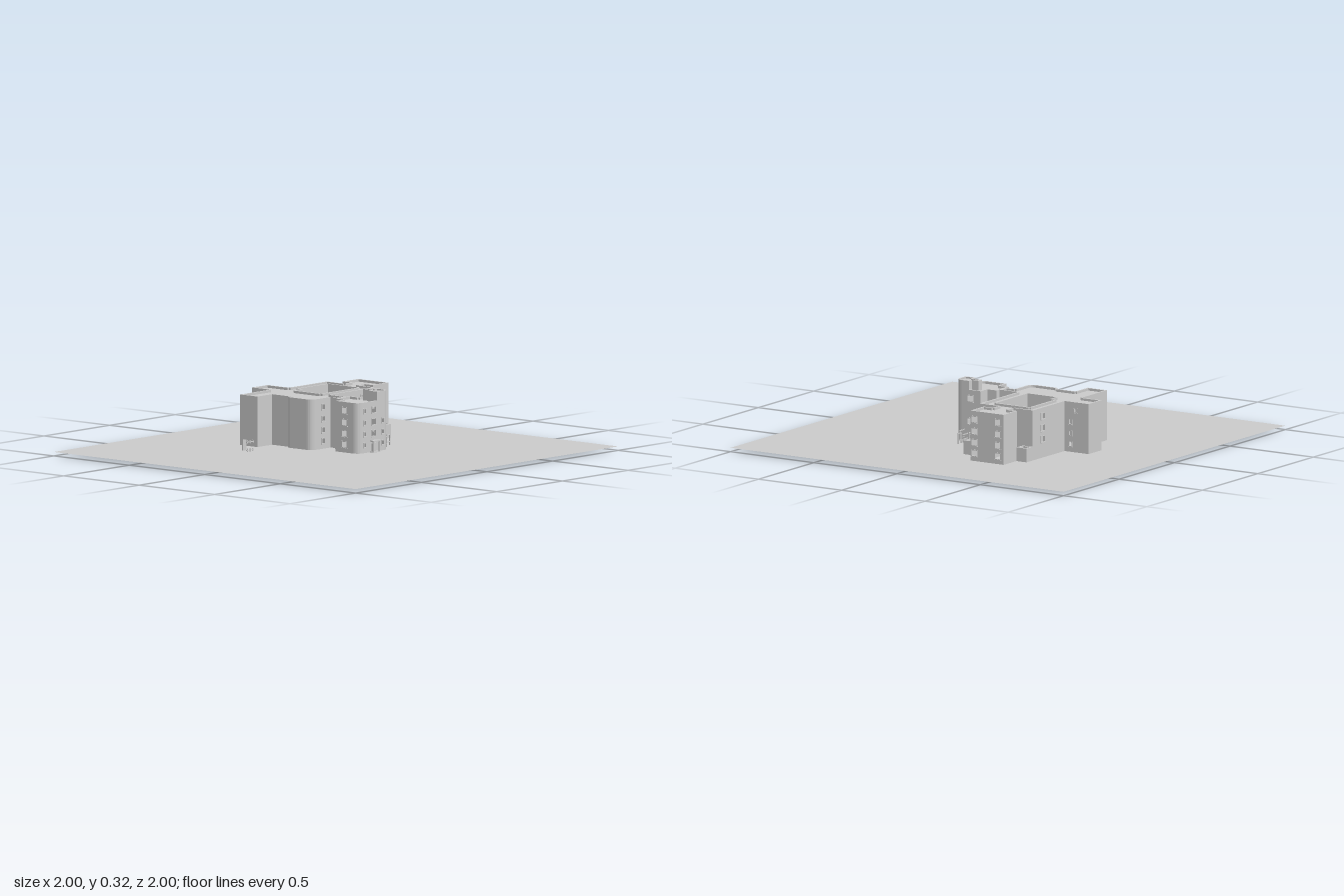
import * as THREE from 'three';

const mat = new THREE.MeshStandardMaterial({ color: 0xcccccc, flatShading: true, side: THREE.DoubleSide });
const T = 0.01;       // wall thickness
const GROUND = 0.02;  // ground level

function add(parent, name, geometry, x = 0, y = 0, z = 0) {
  const mesh = new THREE.Mesh(geometry, mat);
  mesh.name = name;
  mesh.position.set(x, y, z);
  parent.add(mesh);
  return mesh;
}

// box given by its minimum and maximum corners
function box(parent, name, x0, x1, y0, y1, z0, z1) {
  return add(parent, name, new THREE.BoxGeometry(x1 - x0, y1 - y0, z1 - z0),
    (x0 + x1) / 2, (y0 + y1) / 2, (z0 + z1) / 2);
}

// quarter-round corner as a few plan points
function arc(cx, cz, r, from, to, n = 6) {
  return Array.from({ length: n + 1 }, (_, i) => {
    const a = THREE.MathUtils.degToRad(from + (to - from) * i / n);
    return [cx + r * Math.cos(a), cz - r * Math.sin(a)];
  });
}

function rectPath(Type, x, y, w, h) {
  const p = new Type();
  p.moveTo(x - w / 2, y - h / 2);
  p.lineTo(x + w / 2, y - h / 2);
  p.lineTo(x + w / 2, y + h / 2);
  p.lineTo(x - w / 2, y + h / 2);
  p.closePath();
  return p;
}

// slim frame with a sill, set around an opening
function windowFrame(panel, x, y, w, h) {
  const shape = rectPath(THREE.Shape, x, y, w + 0.003, h + 0.003);
  shape.holes.push(rectPath(THREE.Path, x, y, w - 0.005, h - 0.005));
  add(panel, 'windowFrame', new THREE.ExtrudeGeometry(shape, { depth: 0.006, bevelEnabled: false }), 0, 0, -0.003);
  add(panel, 'windowSill', new THREE.BoxGeometry(w + 0.006, 0.003, 0.007), x, y - h / 2 - 0.002, 0.002);
}

// walls along a plan outline (outside on the right hand), with window openings
function walls(parent, outline, y0, y1, windows = []) {
  outline.forEach((a, i) => {
    const b = outline[(i + 1) % outline.length];
    const dx = b[0] - a[0], dz = b[1] - a[1], len = Math.hypot(dx, dz);
    if (len < 1e-4) return;
    const panel = new THREE.Group();
    panel.name = 'wallPanel';
    panel.position.set(a[0], 0, a[1]);
    panel.rotation.y = Math.atan2(-dz, dx);
    parent.add(panel);
    const shape = rectPath(THREE.Shape, len / 2, (y0 + y1) / 2, len, y1 - y0);
    for (const [x, z, w, h, rows] of windows) {
      const u = ((x - a[0]) * dx + (z - a[1]) * dz) / len;
      const off = Math.abs((x - a[0]) * dz - (z - a[1]) * dx) / len;
      if (off > 0.004 || u < w / 2 || u > len - w / 2) continue;
      for (const y of rows) {
        shape.holes.push(rectPath(THREE.Path, u, y, w, h));
        windowFrame(panel, u, y, w, h);
      }
    }
    add(panel, 'wall', new THREE.ExtrudeGeometry(shape, { depth: T, bevelEnabled: false }), 0, 0, -T);
  });
}

// flat roof lying a little below the parapet
function roof(parent, outline, y, hole) {
  const toV = ([x, z]) => new THREE.Vector2(x, -z);
  const shape = new THREE.Shape(outline.map(toV));
  if (hole) shape.holes.push(new THREE.Path(hole.map(toV)));
  add(parent, 'roof', new THREE.ShapeGeometry(shape).rotateX(-Math.PI / 2), 0, y, 0);
}

function block(name, outline, y1, windows, court) {
  const g = new THREE.Group();
  g.name = name;
  walls(g, outline, GROUND, y1, windows);
  if (court) walls(g, court, GROUND, y1);
  roof(g, outline, y1 - 0.012, court);
  return g;
}

export function createModel() {
  const model = new THREE.Group();
  model.name = 'buildingOnSite';
  const TOP = 0.275;
  const rows4 = [0.06, 0.115, 0.172, 0.232], rows3 = rows4.slice(1);

  // site
  add(model, 'ground', new THREE.PlaneGeometry(2, 2).rotateX(-Math.PI / 2), 0, GROUND, 0);
  box(model, 'foundationSlab', 0.085, 0.2, 0, 0.003, 0, 0.13);

  // main building with courtyard
  const outline = [
    ...arc(-0.08, -0.095, 0.035, 180, 270),
    [0.028, -0.06], [0.028, -0.005], [0.085, -0.005], [0.085, -0.115], [0.43, -0.115], [0.43, -0.23],
    [0.482, -0.23], [0.482, -0.175], [0.602, -0.175], [0.602, -0.375], [0.482, -0.375], [0.482, -0.32],
    [0.43, -0.32], [0.43, -0.435], [0.142, -0.435], [0.142, -0.578], [0.024, -0.578], [0.024, -0.46],
    [-0.202, -0.46], [-0.202, -0.345], [-0.09, -0.345], [-0.09, -0.235],
    ...arc(-0.085, -0.205, 0.03, 100, 180, 4),
  ];
  const court = [
    [0.085, -0.175], [0.085, -0.345], [0.142, -0.345], [0.142, -0.375], [0.37, -0.375], [0.37, -0.175],
  ];
  court.reverse();
  // keep the courtyard walls facing the open space
  if (THREE.ShapeUtils.area(court.map(([x, z]) => new THREE.Vector2(x, -z))) > 0) court.reverse();
  model.add(block('mainBuilding', outline, TOP, [
    [0.34, -0.115, 0.036, 0.033, rows3],
    [0.34, -0.435, 0.036, 0.033, rows3],
    [0.602, -0.2, 0.036, 0.033, rows4],
    [0.602, -0.34, 0.036, 0.033, rows4],
    [0.142, -0.47, 0.018, 0.024, rows4.slice(0, 3)],
    [0.142, -0.5, 0.022, 0.022, rows4.slice(3)],
    [0.024, -0.5, 0.022, 0.024, rows4],
    [-0.03, -0.06, 0.025, 0.028, rows4],
  ], court));
  box(model, 'courtyardDoor', 0.085, 0.09, GROUND, 0.07, -0.275, -0.245);

  // low annexes
  model.add(block('frontAnnex', [
    [0.25, -0.115], [0.25, -0.058], [0.487, -0.058], [0.487, -0.175], [0.43, -0.175], [0.43, -0.115],
  ], 0.09));
  model.add(block('backAnnex', [
    [0.43, -0.375], [0.487, -0.375], [0.487, -0.435], [0.43, -0.435],
  ], 0.09));

  // entrance tower
  model.add(block('entranceTower', [
    [0, -0.005], [0, 0.05], [-0.06, 0.05],
    ...arc(-0.025, 0.165, 0.035, 180, 270),
    ...arc(0.137, 0.165, 0.035, 270, 360),
    [0.172, 0.05], [0.112, 0.05], [0.112, -0.005],
  ], TOP, [
    [-0.012, 0.2, 0.022, 0.024, rows4],
    [0.056, 0.2, 0.036, 0.033, rows3],
    [0.125, 0.2, 0.02, 0.024, rows4.slice(0, 3)],
    [-0.06, 0.11, 0.036, 0.033, rows4],
    [0.172, 0.11, 0.036, 0.033, [rows4[1], rows4[3]]],
  ]));

  // raised stair head over the tower
  const head = new THREE.Group();
  head.name = 'stairHead';
  const headPlan = [
    [0.082, 0.14], [0.082, 0.2],
    ...arc(0.137, 0.165, 0.035, 270, 360),
    [0.172, 0.12], [0.145, 0.12], [0.145, 0.082], [0.11, 0.082], [0.11, 0.14],
  ];
  walls(head, headPlan, TOP - 0.012, 0.32);
  roof(head, headPlan, 0.312);
  model.add(head);

  // entrance porch
  const porch = new THREE.Group();
  porch.name = 'entrancePorch';
  box(porch, 'porchStep', 0.028, 0.082, 0.01, 0.024, 0.2, 0.225);
  box(porch, 'porchCanopy', 0.028, 0.082, 0.074, 0.08, 0.2, 0.225);
  for (const x of [0.03, 0.075]) box(porch, 'porchPost', x, x + 0.005, 0.02, 0.075, 0.217, 0.223);
  box(porch, 'entranceDoor', 0.04, 0.07, 0.02, 0.064, 0.2, 0.206);
  model.add(porch);

  // small gate frames beside the tower
  for (const [x0, x1, z, top] of [[0.18, 0.225, 0.14, 0.075], [0.2, 0.25, 0.105, 0.062],
    [0.262, 0.292, 0.105, 0.075], [0.215, 0.247, 0.072, 0.075]]) {
    const gate = new THREE.Group();
    gate.name = 'gateFrame';
    for (const x of [x0, x1 - 0.004]) box(gate, 'gatePost', x, x + 0.004, GROUND, top, z - 0.003, z + 0.003);
    for (const y of [0.035, top - 0.004]) box(gate, 'gateRail', x0, x1, y, y + 0.004, z - 0.002, z + 0.002);
    model.add(gate);
  }

  // free-standing panel and rails beside the building
  box(model, 'standingPanel', -0.43, -0.402, 0.036, 0.09, -0.248, -0.243);
  for (const y of [0.043, 0.083]) {
    box(model, 'standingRail', -0.457, -0.402, y, y + 0.004, -0.198, -0.192);
    for (const x of [-0.452, -0.432, -0.41]) box(model, 'railBracket', x, x + 0.004, y - 0.006, y + 0.01, -0.198, -0.192);
  }
  return model;
}
